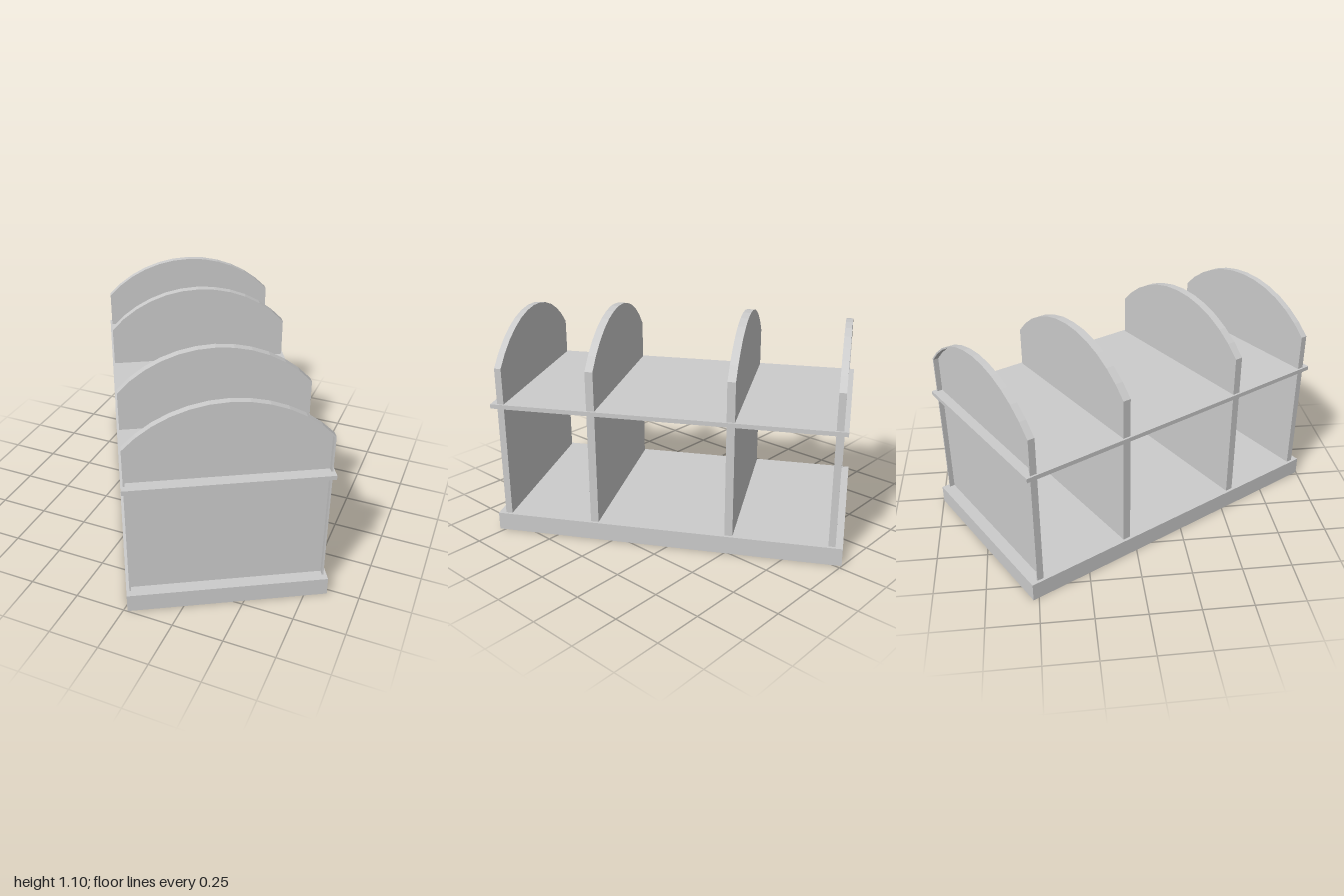
import * as THREE from 'three';

const WIDTH = 0.925, FOOT = 0.07, SEGMENTS = 12;

// Points of a panel outline: straight sides below a circular arch
function archPoints(halfWidth, bottom, spring, top) {
  const rise = top - spring;
  const radius = (halfWidth * halfWidth + rise * rise) / (2 * rise);
  const half = Math.asin(halfWidth / radius);
  const points = [new THREE.Vector2(-halfWidth, bottom), new THREE.Vector2(halfWidth, bottom)];
  for (let i = 0; i <= SEGMENTS; i++) {
    const a = half - (2 * half * i) / SEGMENTS;
    points.push(new THREE.Vector2(Math.sin(a) * radius, top - radius + Math.cos(a) * radius));
  }
  return points;
}

// Tray-like board: a box without its underside
function openBoard(width, height, depth) {
  const g = new THREE.BoxGeometry(width, height, depth);
  const index = Array.from(g.index.array);
  index.splice(18, 6);
  g.setIndex(index);
  g.clearGroups();
  return g;
}

function extrude(shape, depth) {
  return new THREE.ExtrudeGeometry(shape, { depth, bevelEnabled: false }).translate(0, 0, -depth / 2);
}

export function createModel() {
  const model = new THREE.Group();
  model.name = 'archedDividerRack';
  const material = new THREE.MeshStandardMaterial({
    color: 0xcccccc, flatShading: true, side: THREE.DoubleSide,
  });
  const rack = new THREE.Group();
  rack.name = 'rack';
  rack.rotation.y = 0.518;
  model.add(rack);

  const add = (name, geometry, y, z, parent = rack) => {
    const mesh = new THREE.Mesh(geometry, material);
    mesh.name = name;
    mesh.position.set(0, y, z);
    parent.add(mesh);
    return mesh;
  };

  // Base and shelf, both hollow underneath
  add('base', openBoard(0.954, 0.092, 1.756), 0.046, 0);
  add('shelf', openBoard(0.945, 0.022, 1.742), 0.68, 0.005);

  // Two solid inner dividers
  const divider = extrude(new THREE.Shape(archPoints(WIDTH / 2, FOOT, 0.89, 1.1)), 0.04);
  for (const z of [-0.323, 0.363]) add('divider', divider, 0, z);

  // End panels: a thin rim around a panel recessed from the outside
  const wall = 0.008;
  const rimShape = new THREE.Shape(archPoints(WIDTH / 2, FOOT, 0.875, 1.08));
  const inner = archPoints(WIDTH / 2 - wall, FOOT + wall, 0.871, 1.08 - wall);
  rimShape.holes.push(new THREE.Path(inner));
  const rim = extrude(rimShape, 0.034);
  const panel = extrude(new THREE.Shape(inner), wall);
  for (const side of [1, -1]) {
    const end = new THREE.Group();
    end.name = side > 0 ? 'frontEnd' : 'backEnd';
    end.position.z = side * 0.826;
    end.rotation.y = side > 0 ? 0 : Math.PI;
    add('endRim', rim, 0, 0, end);
    add('endPanel', panel, 0, -0.013, end);
    rack.add(end);
  }
  return model;
}
